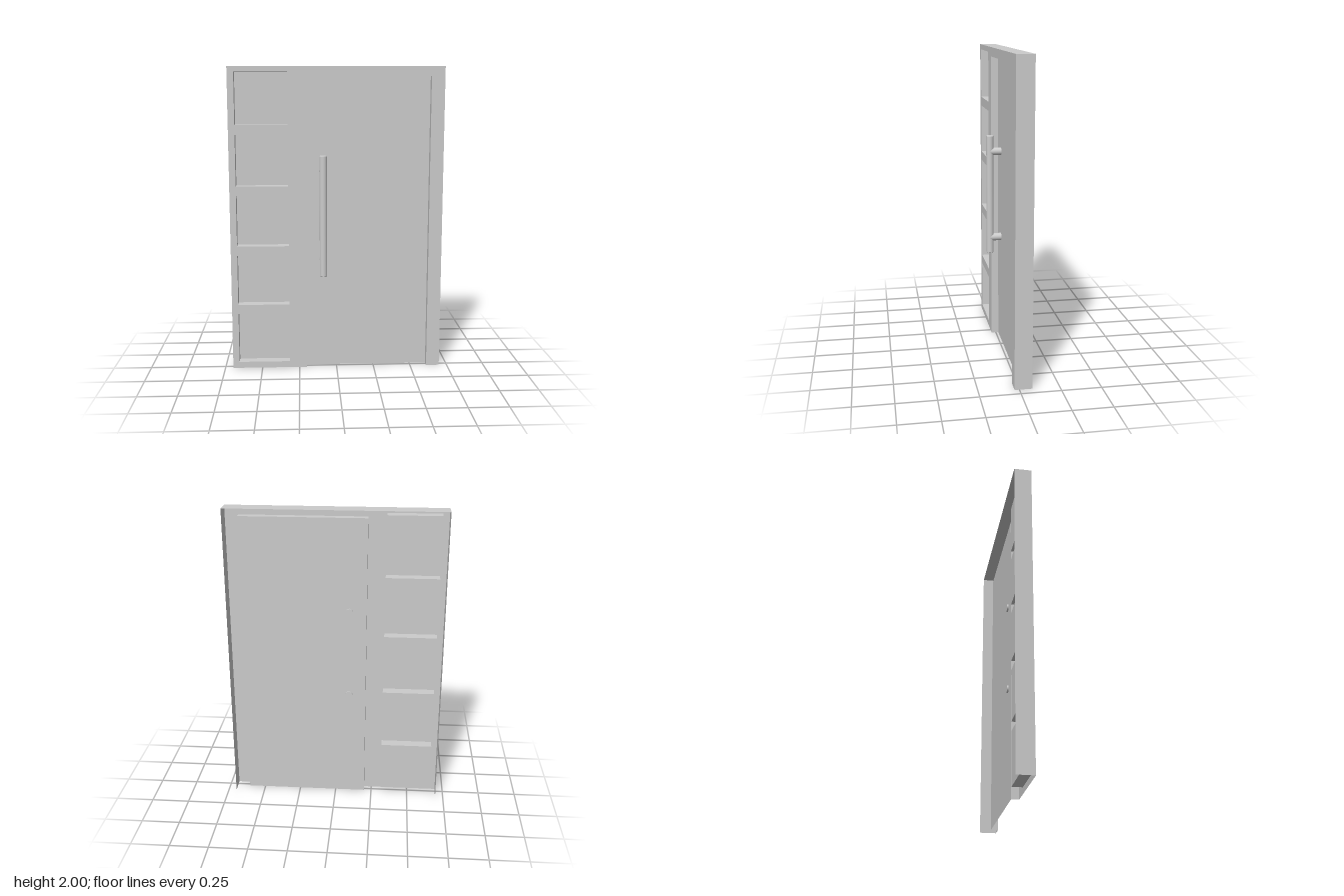
import * as THREE from 'three';

const HALF = 0.697, TOP = 2, FRONT = 0.03, BACK = -0.08;
const DOOR = { x0: -0.2, x1: 0.61, y0: 0, y1: 1.94, z: -0.018 };

const sheet = new THREE.MeshStandardMaterial({ color: 0xcccccc, side: THREE.DoubleSide });
const solid = new THREE.MeshStandardMaterial({ color: 0xcccccc });

function add(parent, name, geometry, material = sheet) {
  const mesh = new THREE.Mesh(geometry, material);
  mesh.name = name;
  parent.add(mesh);
  return mesh;
}

// Thin sheet across x and y, facing +z
function facing(parent, name, x0, x1, y0, y1, z) {
  add(parent, name, new THREE.PlaneGeometry(x1 - x0, y1 - y0))
    .position.set((x0 + x1) / 2, (y0 + y1) / 2, z);
}

// Thin sheet standing at one x, running in depth; side is the direction it faces
function upright(parent, name, x, y0, y1, z0, z1, side) {
  add(parent, name, new THREE.PlaneGeometry(z1 - z0, y1 - y0).rotateY(side * Math.PI / 2))
    .position.set(x, (y0 + y1) / 2, (z0 + z1) / 2);
}

// Thin level sheet at one y; side +1 faces up, -1 down
function level(parent, name, x0, x1, y, z0, z1, side) {
  add(parent, name, new THREE.PlaneGeometry(x1 - x0, z1 - z0).rotateX(-side * Math.PI / 2))
    .position.set((x0 + x1) / 2, y, (z0 + z1) / 2);
}

// Recess pressed back from the front sheet
function recess(parent, name, { x0, x1, y0, y1, z }, hasSill) {
  const group = new THREE.Group();
  group.name = name;
  facing(group, name + 'Panel', x0, x1, y0, y1, z);
  upright(group, name + 'RightReveal', x0, y0, y1, z, FRONT, 1);
  upright(group, name + 'LeftReveal', x1, y0, y1, z, FRONT, -1);
  level(group, name + 'Head', x0, x1, y1, z, FRONT, -1);
  if (hasSill) level(group, name + 'Sill', x0, x1, y0, z, FRONT, 1);
  parent.add(group);
}

function rectPath(Type, x0, x1, y0, y1) {
  return new Type([[x0, y0], [x1, y0], [x1, y1], [x0, y1]].map(p => new THREE.Vector2(...p)));
}

export function createModel() {
  const model = new THREE.Group();
  model.name = 'frontDoor';

  // Five square side lights
  const windows = [];
  for (let i = 0; i < 5; i++) {
    const y0 = 0.042 + i * 0.397;
    windows.push({ x0: -0.655, x1: -0.315, y0, y1: y0 + 0.335, z: -0.036 });
  }

  // Front sheet, notched for the door and pierced for the side lights
  const outline = new THREE.Shape([
    [-HALF, 0], [DOOR.x0, 0], [DOOR.x0, DOOR.y1], [DOOR.x1, DOOR.y1],
    [DOOR.x1, 0], [HALF, 0], [HALF, TOP], [-HALF, TOP],
  ].map(p => new THREE.Vector2(...p)));
  outline.holes = windows.map(w => rectPath(THREE.Path, w.x0, w.x1, w.y0, w.y1));
  add(model, 'frameFront', new THREE.ShapeGeometry(outline)).position.z = FRONT;

  // Outer edges of the frame, open at the back and bottom
  upright(model, 'frameRightSide', -HALF, 0, TOP, BACK, FRONT, -1);
  upright(model, 'frameLeftSide', HALF, 0, TOP, BACK, FRONT, 1);
  level(model, 'frameTop', -HALF, HALF, TOP, BACK, FRONT, 1);

  recess(model, 'doorLeaf', DOOR, false);
  windows.forEach(w => recess(model, 'sideLight', w, true));

  // Pull handle: upright bar on two mounts that pass through the leaf
  const handle = new THREE.Group();
  handle.name = 'pullHandle';
  handle.position.set(-0.088, 1.035, 0.056);
  model.add(handle);

  const r = 0.024, h = 0.4, c = 0.004;
  const profile = [[0, -h], [r - c, -h], [r - c, -h], [r, -h + c], [r, -h + c],
    [r, h - c], [r, h - c], [r - c, h], [r - c, h], [0, h]].map(p => new THREE.Vector2(...p));
  add(handle, 'handleBar', new THREE.LatheGeometry(profile, 24), solid);

  for (const s of [-1, 1]) {
    const mount = add(handle, 'handleMount', new THREE.CylinderGeometry(0.025, 0.025, 0.084, 24), solid);
    mount.rotation.x = Math.PI / 2;
    mount.position.set(0, s * 0.293, -0.042);
  }
  return model;
}
